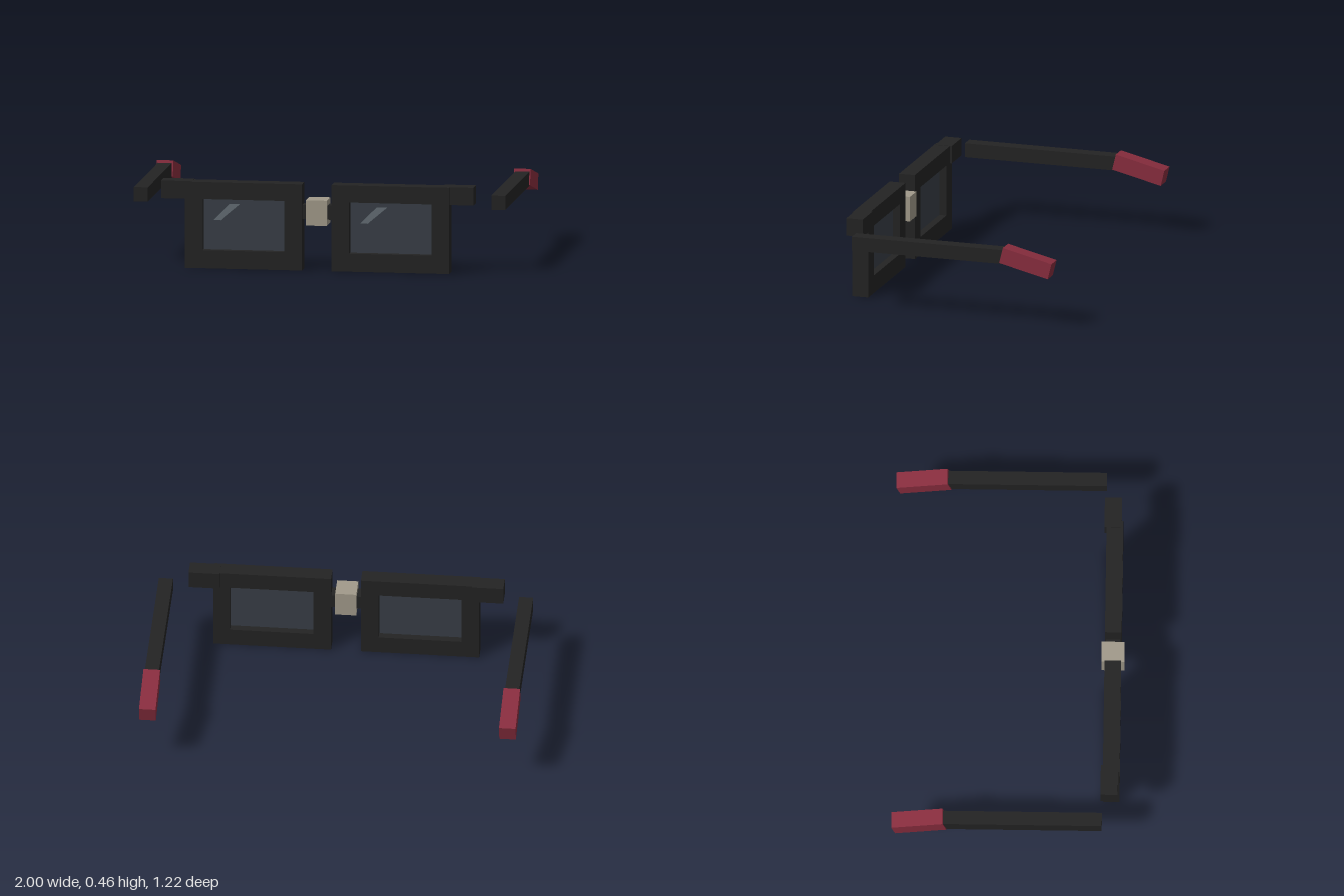
import * as THREE from 'three';

const mat = (name, color) => new THREE.MeshStandardMaterial({ name, color });

export function createModel() {
  const black = mat('frame black', 0x232323);
  const red = mat('tip red', 0x882d3e);
  const beige = mat('bridge beige', 0xa19a8a);
  const glass = mat('lens glass', 0x383e46);
  const shine = mat('lens glint', 0x636d74);

  const model = new THREE.Group();
  model.name = 'glasses';

  const add = (name, geometry, material, x = 0, y = 0, z = 0) => {
    const mesh = new THREE.Mesh(geometry, material);
    mesh.name = name;
    mesh.position.set(x, y, z);
    model.add(mesh);
    return mesh;
  };
  // Box given by its lower and upper limits on each axis
  const box = (name, material, [x0, x1], [y0, y1], [z0, z1]) =>
    add(name, new THREE.BoxGeometry(Math.abs(x1 - x0), y1 - y0, z1 - z0), material,
      (x0 + x1) / 2, (y0 + y1) / 2, (z0 + z1) / 2);
  const polygon = (Type, pts) => new Type(pts.map(([x, y]) => new THREE.Vector2(x, y)));

  // Rim outline with a rectangular opening, centred on its own x
  const rim = polygon(THREE.Shape, [[-0.314, 0], [0.314, 0], [0.314, 0.461], [-0.314, 0.461]]);
  rim.holes.push(polygon(THREE.Path, [[-0.22, 0.096], [-0.22, 0.37], [0.22, 0.37], [0.22, 0.096]]));
  const rimGeometry = new THREE.ExtrudeGeometry(rim, { depth: 0.088, bevelEnabled: false });

  // Slanted reflection, the same way round on both lenses
  const glint = polygon(THREE.Shape, [[-0.168, 0.253], [-0.127, 0.253], [-0.022, 0.342], [-0.078, 0.342]]);
  const glintGeometry = new THREE.ExtrudeGeometry(glint, { depth: 0.003, bevelEnabled: false });

  for (const [side, s] of [['left', 1], ['right', -1]]) {
    const cx = s * 0.393;
    add(`${side}Rim`, rimGeometry, black, cx, 0, 0.505);
    add(`${side}Lens`, new THREE.BoxGeometry(0.44, 0.274, 0.009), glass, cx, 0.233, 0.549);
    add(`${side}Glint`, glintGeometry, shine, cx, 0, 0.554);

    // Hinge block on the outer top corner
    box(`${side}Hinge`, black, [s * 0.67, s * 0.836], [0.368, 0.463], [0.494, 0.585]);

    // Temple arm with a drooping ear tip
    box(`${side}Arm`, black, [s * 0.919, s * 0.994], [0.335, 0.411], [-0.36, 0.503]);
    const tip = add(`${side}Tip`, new THREE.BoxGeometry(0.088, 0.087, 0.278), red, s * 0.956, 0.35, -0.464);
    tip.rotation.x = -0.24;
  }

  // Nose bridge: dark bar through a pale block
  box('bridgeBar', black, [-0.085, 0.085], [0.274, 0.35], [0.512, 0.585]);
  box('bridgeBlock', beige, [-0.056, 0.056], [0.244, 0.379], [0.488, 0.61]);

  return model;
}
